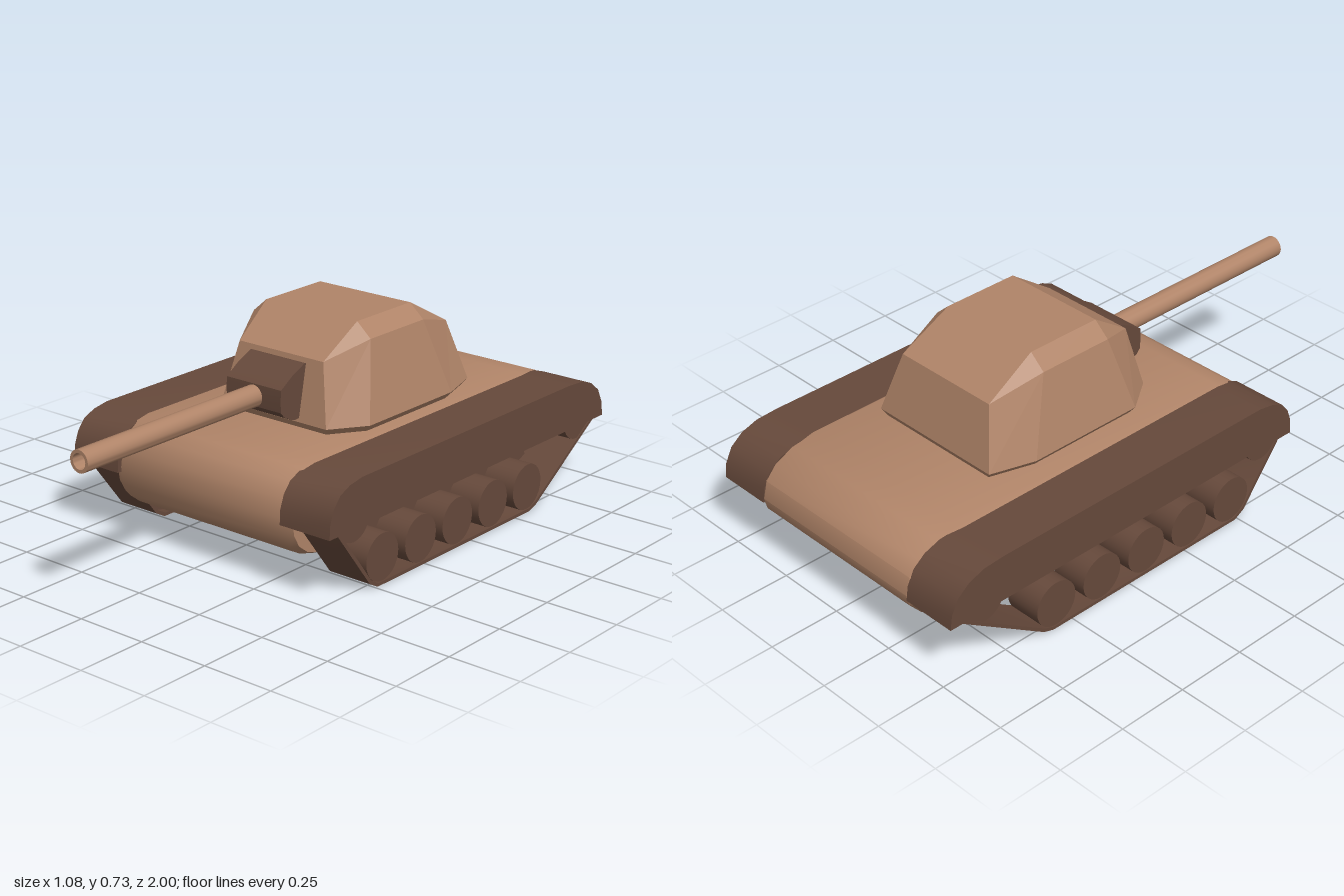
import * as THREE from 'three';
import { toCreasedNormals } from 'three/addons/utils/BufferGeometryUtils.js';

const light = new THREE.MeshStandardMaterial({ color: 0xb08468 });
const dark = new THREE.MeshStandardMaterial({ color: 0x66493b });
const lightFlat = new THREE.MeshStandardMaterial({ color: 0xb08468, flatShading: true });

function add(parent, name, geometry, material) {
  const mesh = new THREE.Mesh(geometry, material);
  mesh.name = name;
  parent.add(mesh);
  return mesh;
}

// Side profile given as [z, y], extruded along x between x0 and x1
function slab(points, x0, x1, { hole, bevel = 0, crease = 0.6 } = {}) {
  const toVec = ([z, y]) => new THREE.Vector2(z, y);
  const shape = new THREE.Shape(points.map(toVec));
  if (hole) shape.holes.push(new THREE.Path(hole.map(toVec)));
  const g = new THREE.ExtrudeGeometry(shape, {
    depth: x1 - x0 - 2 * bevel, bevelEnabled: bevel > 0, bevelThickness: bevel,
    bevelSize: bevel * 0.4, bevelOffset: -bevel * 0.4, bevelSegments: 1,
  });
  g.rotateY(-Math.PI / 2);
  g.translate(x1 - bevel, 0, 0);
  return toCreasedNormals(g, crease);
}

// Cylinder lying along x
function roller(radius, x0, x1, y, z) {
  const g = new THREE.CylinderGeometry(radius, radius, x1 - x0, 28);
  g.rotateZ(Math.PI / 2);
  return g.translate((x0 + x1) / 2, y, z);
}

// Faceted solid from stacked eight-corner rings of [x, y, z]
function loft(rings) {
  const n = rings[0].length, index = [];
  for (let r = 0; r < rings.length - 1; r++) {
    for (let i = 0; i < n; i++) {
      const j = (i + 1) % n, a = r * n + i, b = r * n + j;
      index.push(a, b, b + n, a, b + n, a + n);
    }
  }
  const top = (rings.length - 1) * n;
  for (let i = 1; i < n - 1; i++) {
    index.push(top, top + i, top + i + 1);
    index.push(0, i + 1, i);
  }
  const g = new THREE.BufferGeometry();
  g.setAttribute('position', new THREE.Float32BufferAttribute(rings.flat(2), 3));
  g.setIndex(index);
  const flat = g.toNonIndexed();
  flat.computeVertexNormals();
  return flat;
}

// Octagon with a front, a rear and two side edges; each half-width is about x = 0.02
function ring(front, side, rear, cx = 0.02) {
  const half = [
    [front.w, front.y, front.z], [side.w, side.y, side.z0],
    [side.w, side.y, side.z1], [rear.w, rear.y, rear.z],
  ];
  const right = half.map(([w, y, z]) => [cx + w, y, z]);
  const left = half.map(([w, y, z]) => [cx - w, y, z]).reverse();
  return [...right, ...left];
}

export function createModel() {
  const model = new THREE.Group();
  model.name = 'tank';

  // Hull with rounded nose and tail
  const hullProfile = [
    [0.33, 0.4], [0.385, 0.39], [0.43, 0.36], [0.46, 0.31], [0.47, 0.25], [0.46, 0.19],
    [0.435, 0.145], [0.39, 0.11], [0.33, 0.092], [0.25, 0.085], [-0.68, 0.085],
    [-0.78, 0.096], [-0.87, 0.12], [-0.94, 0.16], [-0.985, 0.21], [-0.995, 0.25],
    [-0.98, 0.31], [-0.94, 0.355], [-0.87, 0.388], [-0.78, 0.4],
  ].reverse();
  add(model, 'hull', slab(hullProfile, -0.37, 0.37, { bevel: 0.03 }), light);

  // Faceted turret
  const turret = new THREE.Group();
  turret.name = 'turret';
  model.add(turret);
  add(turret, 'turretBody', loft([
    ring({ w: 0.205, y: 0.395, z: 0.12 }, { w: 0.28, y: 0.395, z0: 0.01, z1: -0.4 }, { w: 0.235, y: 0.395, z: -0.55 }),
    ring({ w: 0.22, y: 0.423, z: 0.14 }, { w: 0.302, y: 0.423, z0: 0.02, z1: -0.41 }, { w: 0.255, y: 0.423, z: -0.565 }),
    ring({ w: 0.175, y: 0.628, z: 0.1 }, { w: 0.245, y: 0.682, z0: -0.05, z1: -0.325 }, { w: 0.2, y: 0.628, z: -0.51 }),
    ring({ w: 0.19, y: 0.73, z: -0.05 }, { w: 0.19, y: 0.73, z0: -0.05, z1: -0.325 }, { w: 0.19, y: 0.73, z: -0.325 }),
  ]), lightFlat);

  // Gun mantlet
  const mantlet = [
    [0.05, 0.44], [0.155, 0.435], [0.175, 0.44], [0.21, 0.458], [0.225, 0.475],
    [0.227, 0.51], [0.225, 0.55], [0.17, 0.585], [0.11, 0.612], [0.05, 0.6],
  ];
  add(turret, 'gunMantlet', slab(mantlet, -0.1, 0.127), dark);

  // Hollow barrel
  const bore = [[0, 0.2], [0.037, 0.2], [0.037, 1], [0.026, 1], [0.026, 0.85], [0, 0.85]];
  const barrel = new THREE.LatheGeometry(bore.map(([r, h]) => new THREE.Vector2(r, h)), 24);
  barrel.rotateX(Math.PI / 2);
  barrel.translate(0.013, 0.509, 0);
  add(turret, 'gunBarrel', toCreasedNormals(barrel, 0.6), light);

  // Running gear, one set per side
  const fender = [
    [-0.997, 0.235], [0.485, 0.235], [0.482, 0.285], [0.465, 0.33], [0.435, 0.365],
    [0.39, 0.385], [0.33, 0.395], [-0.78, 0.395], [-0.86, 0.39], [-0.92, 0.37],
    [-0.965, 0.335], [-0.99, 0.285],
  ];
  const trackOuter = [
    [0.24, 0.002], [0.28, 0.025], [0.44, 0.235], [0.43, 0.31], [-0.92, 0.31],
    [-0.955, 0.235], [-0.62, 0.015], [-0.58, 0.002],
  ];
  const trackInner = [
    [0.235, 0.013], [0.27, 0.032], [0.427, 0.238], [0.42, 0.3], [-0.912, 0.3],
    [-0.94, 0.238], [-0.615, 0.026], [-0.578, 0.013],
  ].reverse();

  for (const side of [1, -1]) {
    const gear = new THREE.Group();
    gear.name = side > 0 ? 'leftRunningGear' : 'rightRunningGear';
    model.add(gear);
    const span = (a, b) => (side > 0 ? [a, b] : [-b, -a]);

    add(gear, 'fender', slab(fender, ...span(0.343, 0.539)), dark);
    add(gear, 'track', slab(trackOuter, ...span(0.373, 0.532), { hole: trackInner }), dark);

    // Five road wheels, each with a trailing arm
    for (let i = 0; i < 5; i++) {
      const z = 0.215 - i * 0.195;
      add(gear, 'roadWheel', roller(0.08, ...span(0.4, 0.53), 0.094, z), dark);
      const arm = new THREE.BoxGeometry(0.05, 0.045, 0.17);
      arm.rotateX(0.42);
      arm.translate(side * 0.385, 0.125, z - 0.07);
      add(gear, 'suspensionArm', arm, dark);
    }

    // Raised end wheels under the fender
    add(gear, 'idlerWheel', roller(0.075, ...span(0.37, 0.528), 0.262, 0.355), dark);
    add(gear, 'driveWheel', roller(0.078, ...span(0.37, 0.528), 0.264, -0.855), dark);
  }

  return model;
}
